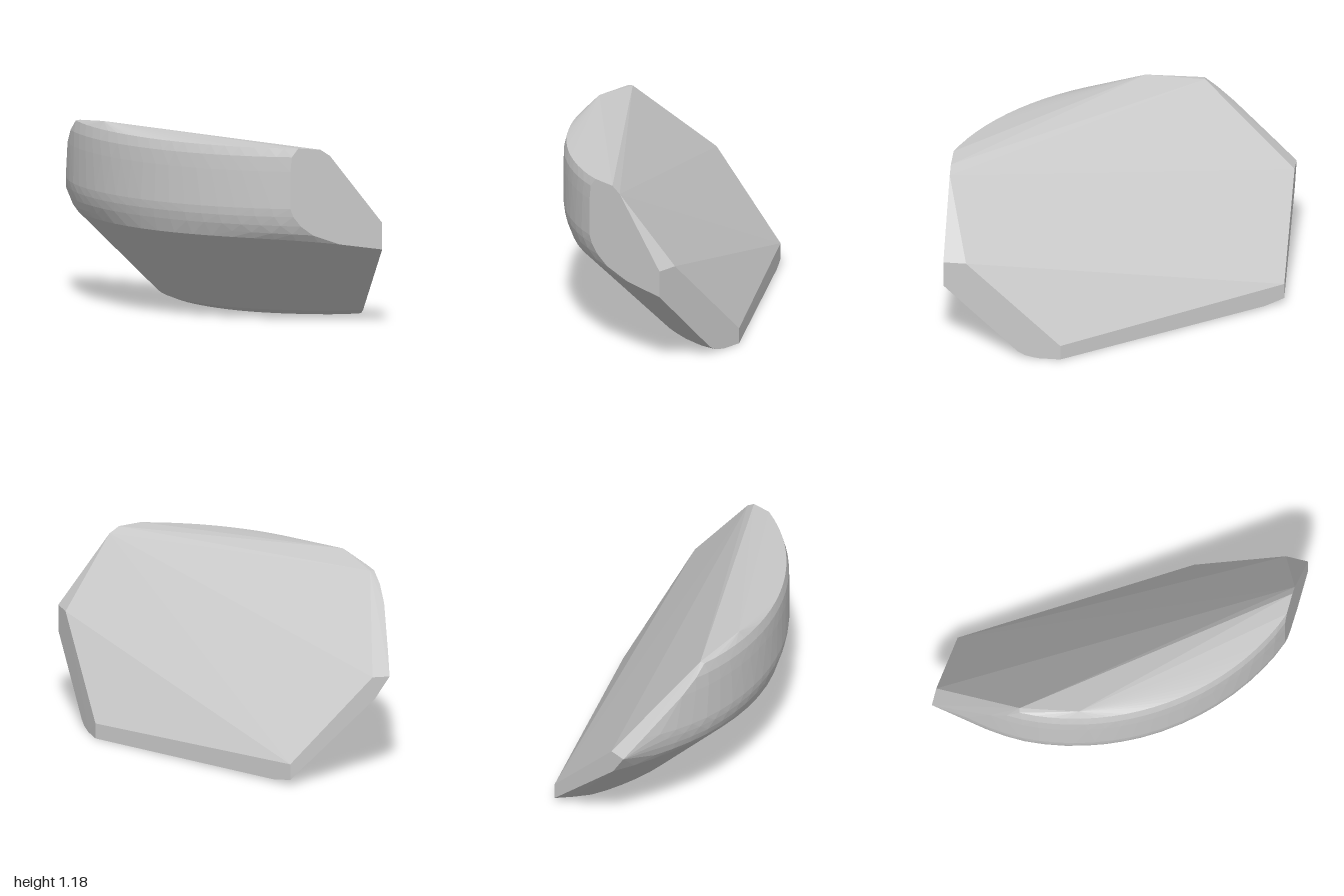
import * as THREE from 'three';
import { ConvexGeometry } from 'three/addons/geometries/ConvexGeometry.js';

// Arc centre of the rounded outer wall
const CX = 0.69, CZ = -0.4;

// Wall radius, pulled in a little along the middle of the arc
const wall = (a) => 1.48 - 0.022 * Math.max(0, Math.sin(2.6 * a));
// Radius where the 45 degree lower slope would reach the ground
const foot = (a) => 0.85 + 0.053 * Math.min(1, Math.abs((a - 0.55) / 0.97)) ** 4;

// Rings from wall top to underside: radius and height by angle
const RINGS = [
  { r: (a) => wall(a) - 0.018, y: (a) => 1.138 - 0.014 * a },
  { r: (a) => wall(a) - 0.003, y: () => 1.07 },
  { r: wall, y: () => 0.98 },
  { r: wall, y: () => 0.75 },
  { r: (a) => wall(a) - 0.006, y: () => 0.7 },
  { r: (a) => wall(a) - 0.02, y: (a) => 0.645 - 0.3 * (foot(a) - 0.85) },
  { r: (a) => wall(a) - 0.04, y: (a) => 0.598 - 0.7 * (foot(a) - 0.85) },
  { r: () => 1.41, y: (a) => 1.41 - foot(a) },
  { r: (a) => foot(a) + 0.045, y: () => 0.045 },
  { r: (a) => foot(a), y: () => 0.02 },
  { r: (a) => foot(a) - 0.045, y: () => 0.01 },
  { r: (a) => foot(a) - 0.085, y: () => 0.004 },
];

// Angular range of a ring inside the flat cuts that trim the body
function ringRange(ring) {
  const r0 = ring.r(-0.42), r1 = ring.r(1.5);
  const zMin = Math.max(-1, -1 + (ring.y(0) - 0.64) / 0.862); // rear end and sloped rear top
  const rear = Math.asin(Math.max(-1, (zMin - CZ) / r0));
  const band = 0.575 - Math.acos(0.286 / r0);                 // upright band along the back
  const front = r1 > 1.4 ? Math.asin((1 - CZ) / r1) : Math.PI;
  const side = Math.acos(-0.1 / r1);                          // flat left end
  return [Math.max(rear, band), Math.min(front, side)];
}

export function createModel() {
  const group = new THREE.Group();
  group.name = 'facetedShell';
  const grey = new THREE.MeshStandardMaterial({ color: 0xc9c9c9 });
  grey.name = 'grey';

  const points = [];
  const add = (x, y, z) => points.push(new THREE.Vector3(x, y, z));

  // Rounded wall, lower slope and underside (rising slightly to the rear)
  const STEPS = 20;
  for (const ring of RINGS) {
    const [a0, a1] = ringRange(ring);
    for (let i = 0; i <= STEPS; i++) {
      const a = a0 + (a1 - a0) * i / STEPS;
      const r = ring.r(a), y = ring.y(a);
      const z = Math.min(1, CZ + r * Math.sin(a));
      const lift = y < 0.03 ? 0.012 * Math.max(0, 0.3 - z) : 0;
      add(CX - r * Math.cos(a), y + lift, z);
    }
  }

  // Rear end
  add(-0.68, 0.64, -1); add(-0.57, 0.645, -1); add(-0.62, 0.56, -1);
  add(-0.04, 0.14, -1); add(-0.04, 0.04, -1);
  // Top ridge
  add(-0.743, 1.14, -0.43); add(-0.69, 1.18, -0.07);
  add(0.26, 1.122, 1); add(0.4, 1.11, 1); add(0.46, 1.07, 1);
  // Flat left end
  add(0.79, 0.645, 1); add(0.79, 0.48, 1); add(0.79, 0.645, 0.86);
  add(0.79, 0.1, 0.28); add(0.79, 0.004, 0.28);

  const body = new THREE.Mesh(new ConvexGeometry(points), grey);
  body.name = 'body';
  group.add(body);
  return group;
}
